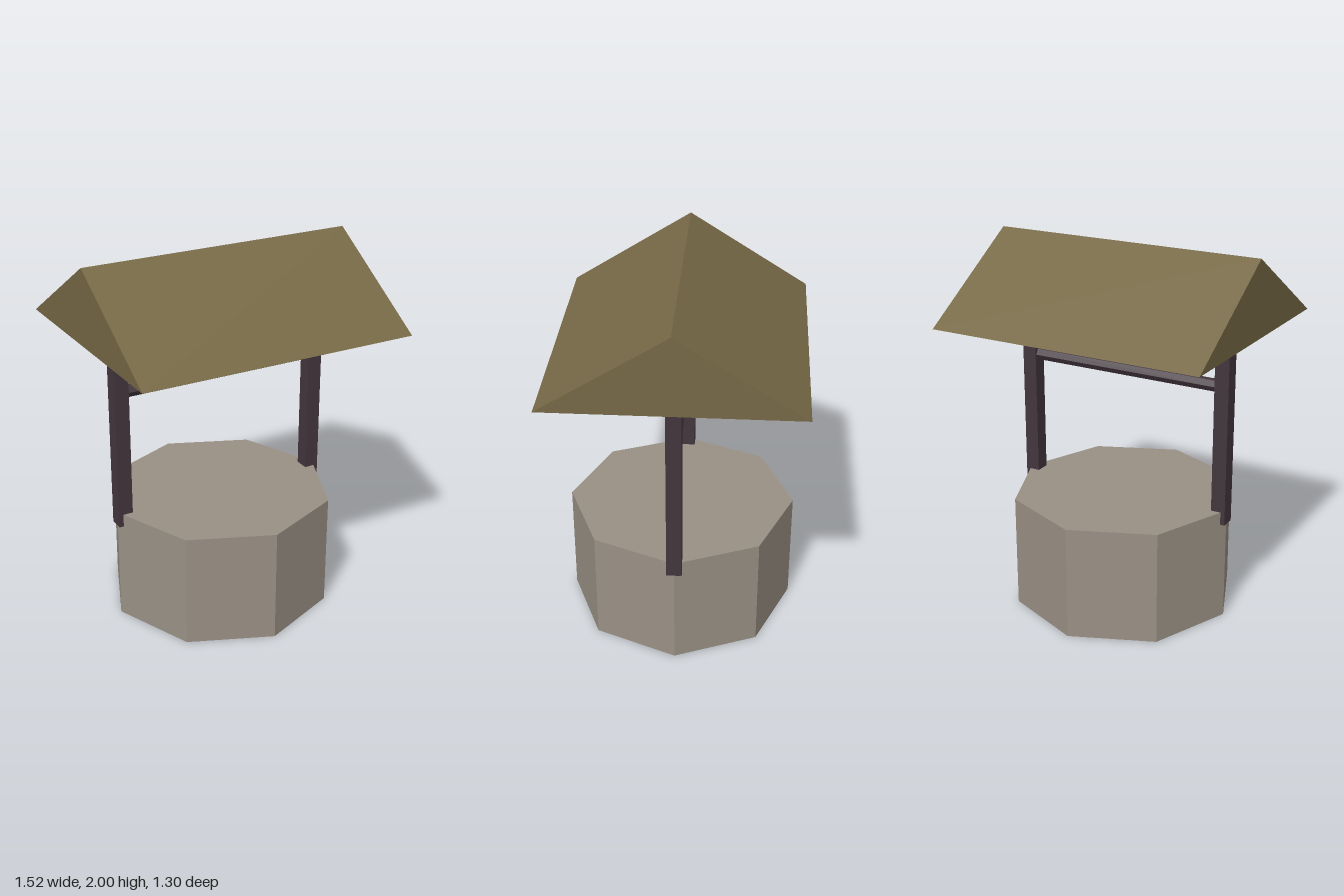
import * as THREE from 'three';

export function createModel() {
  const group = new THREE.Group();
  const material = (name, color) =>
    new THREE.MeshStandardMaterial({ name, color, flatShading: true });
  const stone = material('stone', 0x9a9185);
  const wood = material('dark wood', 0x43363d);
  const thatch = material('roof thatch', 0x766946);

  const add = (name, geometry, mat, x, y, z) => {
    const mesh = new THREE.Mesh(geometry, mat);
    mesh.name = name;
    mesh.position.set(x, y, z);
    group.add(mesh);
    return mesh;
  };

  // Solid eight-sided base, one corner facing the front
  add('wellBase', new THREE.CylinderGeometry(0.617, 0.617, 0.625, 8), stone, 0, 0.3125, 0);

  // Posts overlapping the rim at either side and meeting the roof
  for (const [name, side] of [['leftPost', 1], ['rightPost', -1]]) {
    add(name, new THREE.BoxGeometry(0.08, 1.037, 0.08), wood, side * 0.585, 1.0735, 0);
  }

  // Six-sided crossbar between the posts
  const bar = add('crossbar', new THREE.CylinderGeometry(0.034, 0.034, 1.1, 6), wood, 0, 1.314, 0);
  bar.rotation.z = Math.PI / 2;

  // Closed gable roof: triangle extruded along x
  const gable = new THREE.Shape([
    new THREE.Vector2(-0.652, 1.59),
    new THREE.Vector2(0.652, 1.59),
    new THREE.Vector2(0, 2),
  ]);
  const roof = new THREE.ExtrudeGeometry(gable, { depth: 1.516, bevelEnabled: false });
  roof.translate(0, 0, -0.758).rotateY(Math.PI / 2);
  add('roof', roof, thatch, 0, 0, 0);

  return group;
}
